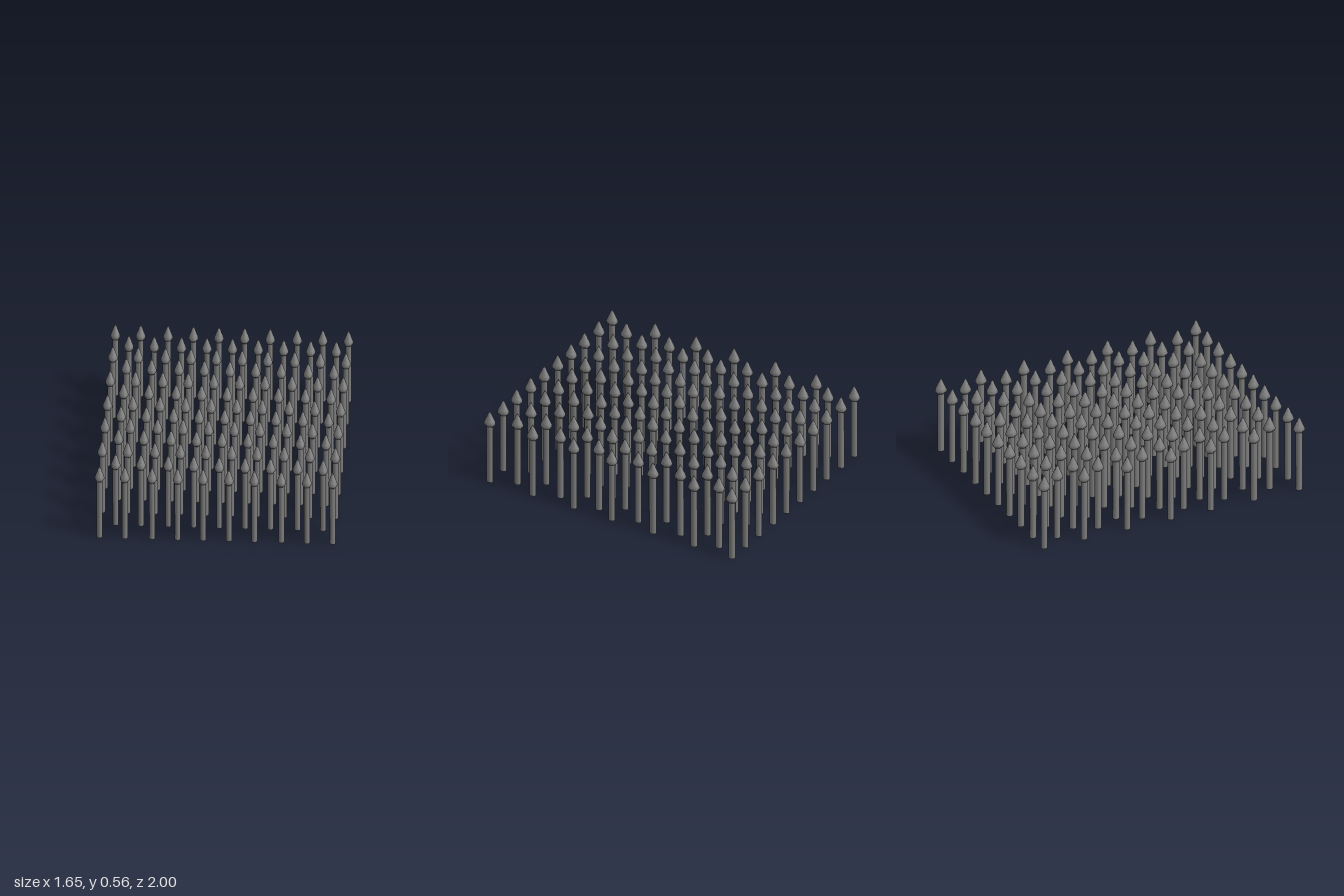
import * as THREE from 'three';

export function createModel() {
  const model = new THREE.Group();
  model.name = 'spikeField';
  const material = new THREE.MeshStandardMaterial({ color: 0x7f7f7f });

  // Shaft: hexagonal post with corners on +-x, slightly deeper in z
  const shaftGeometry = new THREE.CylinderGeometry(0.02, 0.02, 0.445, 6, 1, false, Math.PI / 2);
  shaftGeometry.translate(0, 0.2225, 0).scale(1, 1, 1.2);

  // Spearhead: rounded collar, bulge and concave taper to the tip
  const headProfile = [
    [0, 0.437], [0.023, 0.44], [0.032, 0.45], [0.033, 0.464],
    [0.028, 0.482], [0.018, 0.508], [0.009, 0.536], [0, 0.557],
  ].map(([r, y]) => new THREE.Vector2(r, y));
  const headGeometry = new THREE.LatheGeometry(headProfile, 6, Math.PI / 2).scale(1, 1, 1.3);

  // Staggered rows: ten spikes in even rows, nine shifted ones in odd rows
  const columns = [-0.791, -0.619, -0.434, -0.261, -0.088, 0.087, 0.26, 0.443, 0.617, 0.791];
  const rows = [-0.963, -0.815, -0.661, -0.508, -0.336, -0.173, -0.007,
    0.14, 0.295, 0.447, 0.621, 0.788, 0.963];
  const stagger = 0.1;

  rows.forEach((z, row) => {
    const odd = row % 2;
    const xs = odd ? columns.slice(0, -1).map((x) => x + stagger) : columns;
    const rowGroup = new THREE.Group();
    rowGroup.name = `spikeRow${row + 1}`;
    for (const x of xs) {
      const spike = new THREE.Group();
      spike.name = 'spike';
      const shaft = new THREE.Mesh(shaftGeometry, material);
      shaft.name = 'shaft';
      const head = new THREE.Mesh(headGeometry, material);
      head.name = 'spearhead';
      spike.add(shaft, head);
      spike.position.set(x, 0, z);
      rowGroup.add(spike);
    }
    model.add(rowGroup);
  });

  return model;
}
